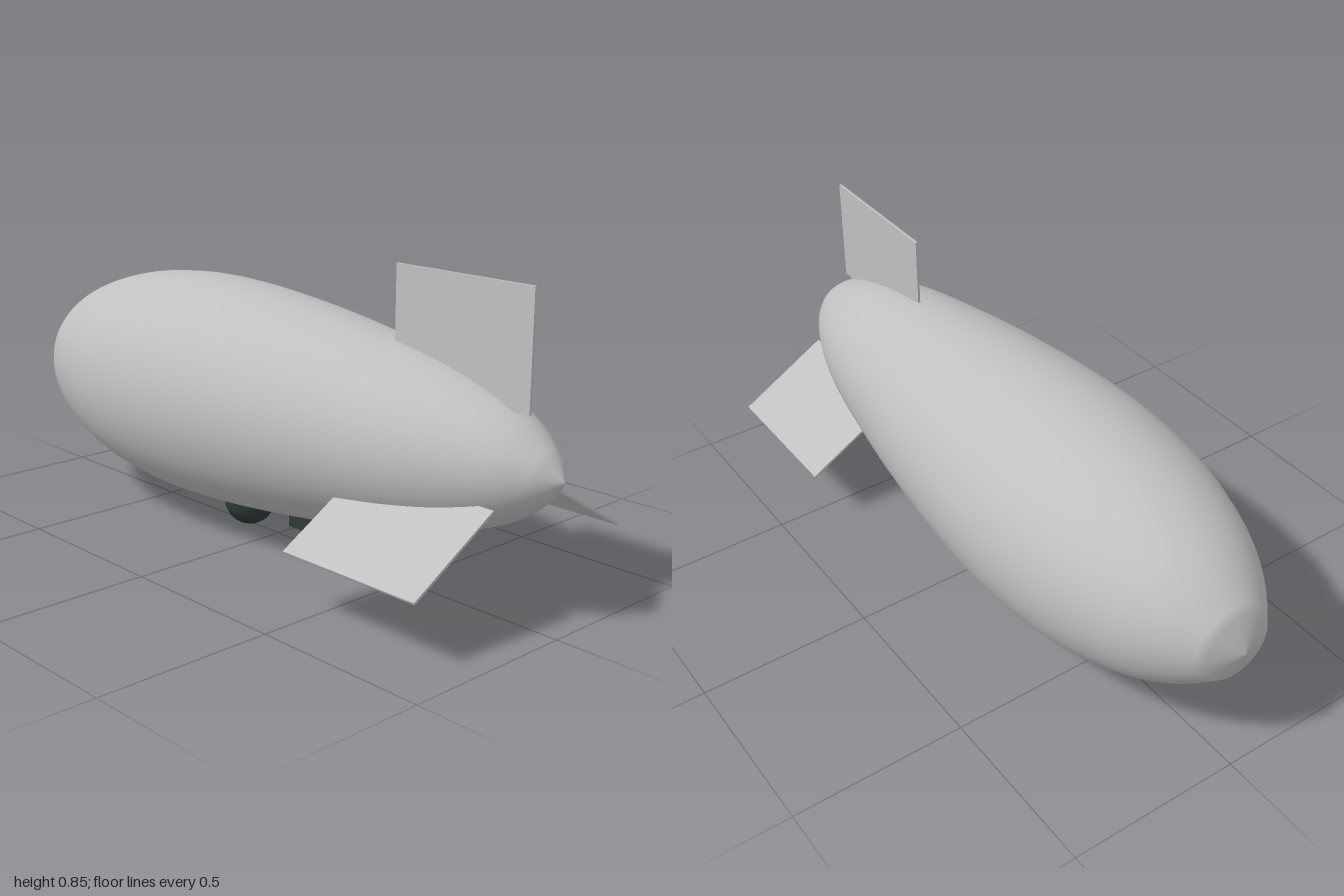
import * as THREE from 'three';

export function createModel() {
  const model = new THREE.Group();
  const skin = new THREE.MeshStandardMaterial({ color: 0xc0c0c0 });
  skin.name = 'silver skin';
  const dark = new THREE.MeshStandardMaterial({ color: 0x2f3838 });
  dark.name = 'dark slate';
  const axisY = 0.4;

  function add(name, geometry, material, x, y, z, parent = model) {
    const mesh = new THREE.Mesh(geometry, material);
    mesh.name = name;
    mesh.position.set(x, y, z);
    parent.add(mesh);
    return mesh;
  }

  // Hull: radius against length, blunt end at -z, slender tail at +z
  const profile = [
    [0.1, -0.967], [0.168, -0.89], [0.224, -0.8], [0.268, -0.69], [0.302, -0.56],
    [0.321, -0.42], [0.328, -0.28], [0.323, -0.12], [0.309, 0.05], [0.285, 0.25],
    [0.253, 0.45], [0.227, 0.59], [0.192, 0.72], [0.148, 0.83], [0.108, 0.9], [0.055, 0.963],
  ].map(([r, z]) => new THREE.Vector2(r, z));
  const points = [
    new THREE.Vector2(0, -1),
    ...new THREE.SplineCurve(profile).getPoints(45),
    new THREE.Vector2(0, 1),
  ];
  const hull = new THREE.LatheGeometry(points, 64);
  hull.rotateX(Math.PI / 2);
  add('hull', hull, skin, 0, axisY, 0);

  // Three flat fins spaced evenly around the tail
  ['topFin', 'rightFin', 'leftFin'].forEach((name, i) => {
    const fin = new THREE.Group();
    fin.name = name;
    fin.position.y = axisY;
    fin.rotation.z = (i * Math.PI * 2) / 3;
    add(name + 'Panel', new THREE.BoxGeometry(0.007, 0.314, 0.44), skin, 0, 0.298, 0.67, fin);
    model.add(fin);
  });

  // Belly dome and the small box behind it
  add('bellyDome', new THREE.SphereGeometry(0.075, 40, 24), dark, 0, 0.076, -0.125);
  add('bellyBox', new THREE.BoxGeometry(0.038, 0.038, 0.127), dark, 0, 0.064, 0.128);

  // Tiny mooring studs under both ends
  const stud = new THREE.SphereGeometry(0.004, 10, 8);
  add('noseStud', stud, skin, 0, 0.27, -0.94);
  add('tailStud', stud, skin, 0, 0.2, 0.695);

  return model;
}
